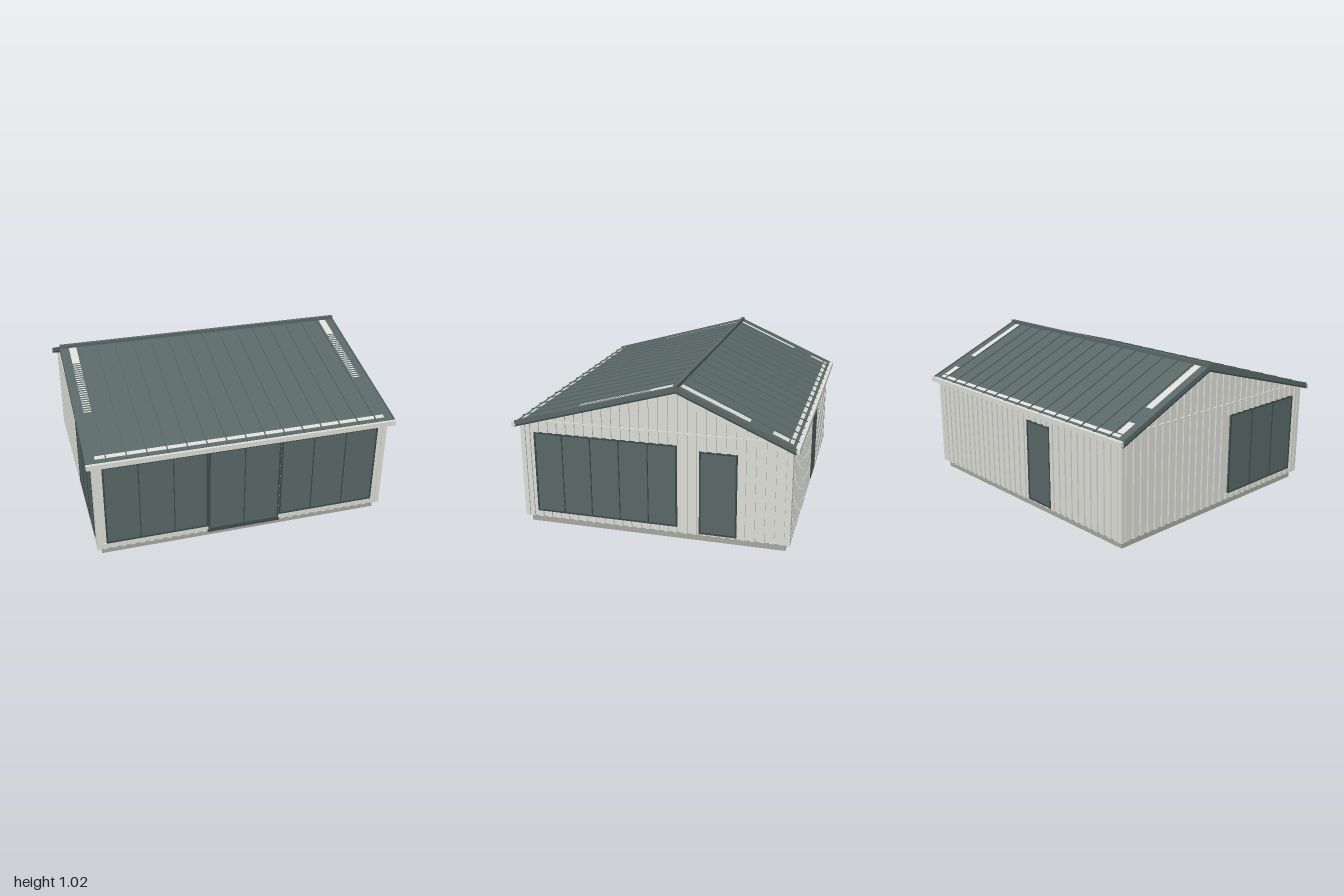
import * as THREE from 'three';
import { mergeGeometries } from 'three/addons/utils/BufferGeometryUtils.js';

const paint = (name, color) => {
  const m = new THREE.MeshStandardMaterial({ color });
  m.name = name;
  return m;
};

// Roof profile: ridge and eaves in (z, y)
const RIDGE_Z = -0.165, RIDGE_Y = 1.0;
const EAVE_F = [0.885, 0.7], EAVE_B = [-0.885, 0.685];
const roofY = (z) => {
  const [ez, ey] = z > RIDGE_Z ? EAVE_F : EAVE_B;
  return RIDGE_Y + (ey - RIDGE_Y) * (z - RIDGE_Z) / (ez - RIDGE_Z);
};

// Axis-aligned box from its bounds
const box = (x0, x1, y0, y1, z0, z1) =>
  new THREE.BoxGeometry(x1 - x0, y1 - y0, z1 - z0)
    .translate((x0 + x1) / 2, (y0 + y1) / 2, (z0 + z1) / 2);

// Extrude a (z, y) profile across the width of the house
const acrossX = (pts, halfWidth) =>
  new THREE.ExtrudeGeometry(new THREE.Shape(pts.map((p) => new THREE.Vector2(...p))),
    { depth: 2 * halfWidth, bevelEnabled: false })
    .translate(0, 0, -halfWidth).rotateY(-Math.PI / 2);

// Band of the roof section between two depths below the top surface
const roofBand = (d0, d1) => acrossX([
  [EAVE_F[0], EAVE_F[1] - d0], [RIDGE_Z, RIDGE_Y - d0], [EAVE_B[0], EAVE_B[1] - d0],
  [EAVE_B[0], EAVE_B[1] - d1], [RIDGE_Z, RIDGE_Y - d1], [EAVE_F[0], EAVE_F[1] - d1],
], 1);

// Strip lying on a roof slope
const onSlope = (x, w, z0, z1, h) => {
  const e = 0.0005;
  const y0 = roofY(z0 > RIDGE_Z ? z0 : z0 + e), y1 = roofY(z1);
  return new THREE.BoxGeometry(w, h, Math.hypot(z1 - z0, y1 - y0))
    .rotateX(Math.atan2(y0 - y1, z1 - z0))
    .translate(x, (y0 + y1) / 2, (z0 + z1) / 2);
};

export function createModel() {
  const house = new THREE.Group();
  house.name = 'house';
  const cladding = paint('pale cladding', 0xdcddd6);
  const plinthGrey = paint('plinth grey', 0xa7a69f);
  const roofing = paint('roof grey green', 0x596867);
  const glass = paint('tinted glass', 0x586766);
  const frame = paint('dark frame', 0x3c4a49);

  const add = (parent, name, geo, mat) => {
    const m = new THREE.Mesh(Array.isArray(geo) ? mergeGeometries(geo) : geo, mat);
    m.name = name;
    parent.add(m);
    return m;
  };

  // Plinth and solid wall body with gables
  add(house, 'plinth', box(-0.935, 0.935, 0, 0.05, -0.835, 0.835), plinthGrey);
  const W = 0.955, D = 0.855, under = 0.028;
  add(house, 'wallBody', acrossX([
    [-D, 0.05], [D, 0.05], [D, roofY(D) - under],
    [RIDGE_Z, RIDGE_Y - under], [-D, roofY(-D) - under],
  ], W), cladding);

  // One elevation: battens, corner boards and glazed openings.
  // Openings are [u0, u1, y0, y1, panes]; u runs to the right seen from outside.
  const elevation = (name, angle, half, out, topAt, openings) => {
    const g = new THREE.Group();
    g.name = name;
    g.rotation.y = angle;
    house.add(g);

    const battens = [], w = 0.014;
    const put = (u, y0, y1) => {
      if (y1 - y0 > 0.005) battens.push(box(u - w, u + w, y0, y1, out - 0.002, out + 0.01));
    };
    const n = Math.round((half - 0.04) / 0.03);
    for (let i = 0; i <= n; i++) {
      const u = -(half - 0.04) + (2 * (half - 0.04) * i) / n;
      const hit = openings.find((o) => u + w > o[0] && u - w < o[1]);
      const top = Math.min(topAt(u - w), topAt(u + w));
      if (hit) {
        put(u, 0.05, hit[2]);
        put(u, hit[3], top);
      } else put(u, 0.05, top);
    }
    add(g, 'battens', battens, cladding);
    add(g, 'cornerBoards', [-1, 1].map((s) => {
      const a = s * (half - 0.02), b = s * (half + 0.01);
      return box(Math.min(a, b), Math.max(a, b), 0.05, topAt(s * half), out - 0.002, out + 0.01);
    }), cladding);

    const panes = [], bars = [];
    const t = 0.006;
    for (const [u0, u1, y0, y1, count] of openings) {
      panes.push(box(u0, u1, y0, y1, out - 0.001, out + 0.006));
      for (let i = 0; i <= count; i++) {
        const edge = i === 0 || i === count;
        const b = edge ? 0.01 : t;
        const u = u0 + ((u1 - u0) * i) / count + (i === 0 ? b : i === count ? -b : 0) / 2 * 1.0;
        bars.push(box(u - b / 2, u + b / 2, y0, y1, out, out + 0.011));
      }
      bars.push(box(u0, u1, y0, y0 + 0.01, out, out + 0.011));
      bars.push(box(u0, u1, y1 - 0.01, y1, out, out + 0.011));
    }
    add(g, 'glazing', panes, glass);
    add(g, 'frames', bars, frame);
    return g;
  };

  const front = elevation('frontElevation', 0, W, D, () => roofY(D) - under, [
    [-0.905, -0.245, 0.09, 0.645, 3], [-0.24, 0.235, 0.06, 0.645, 2], [0.24, 0.9, 0.09, 0.645, 3],
  ]);
  add(front, 'threshold', box(-0.25, 0.24, 0.046, 0.06, D, D + 0.013), frame);
  elevation('backElevation', Math.PI, W, D, () => roofY(-D) - under, [[0.08, 0.31, 0.06, 0.605, 1]]);
  const left = elevation('leftElevation', Math.PI / 2, D, W, (u) => roofY(-u) - under, [
    [-0.775, 0.16, 0.09, 0.63, 5], [0.3, 0.535, 0.06, 0.605, 1],
  ]);
  const right = elevation('rightElevation', -Math.PI / 2, D, W, (u) => roofY(u) - under, [
    [0.1, 0.775, 0.09, 0.63, 3],
  ]);
  // Flashing at the foot of each gable
  add(left, 'gableFlashing', box(-0.74, 0.74, 0.706, 0.713, W, W + 0.013), cladding);
  add(right, 'gableFlashing', box(-0.74, 0.74, 0.706, 0.713, W, W + 0.013), cladding);

  // Roof sheets, dark underside, standing seams and ridge cap
  add(house, 'roofSheets', roofBand(0, 0.022), roofing);
  add(house, 'roofUnderside', roofBand(0.022, 0.032), frame);
  const seams = [];
  for (let i = -8; i <= 8; i++) {
    const x = Math.max(-0.997, Math.min(0.997, i * 0.125));
    seams.push(onSlope(x, 0.006, RIDGE_Z, EAVE_F[0], 0.016), onSlope(x, 0.006, EAVE_B[0], RIDGE_Z, 0.016));
  }
  add(house, 'roofSeams', seams, roofing);
  add(house, 'ridgeCap', box(-1, 1, 0.985, 1.018, RIDGE_Z - 0.012, RIDGE_Z + 0.012), roofing);

  // Pale wall heads flush with the roof surface
  const heads = [];
  for (const s of [-1, 1]) {
    const x = s * 0.915;
    heads.push(onSlope(x, 0.05, -0.83, -0.735, 0.003), onSlope(x, 0.05, -0.6, -0.18, 0.003));
    heads.push(onSlope(x, 0.05, -0.15, 0.01, 0.003));
    for (let z = 0.02; z < 0.47; z += 0.02) heads.push(onSlope(x, 0.05, z, z + 0.008, 0.003));
  }
  heads.push(onSlope(0, 1.88, -0.86, -0.838, 0.003), onSlope(0, 1.88, 0.832, 0.858, 0.003));
  add(house, 'wallHeads', heads, cladding);

  // Eaves gutters
  add(house, 'frontGutter', box(-1, 1, 0.665, 0.697, 0.878, 0.905), cladding);
  add(house, 'backGutter', box(-1, 1, 0.66, 0.69, -0.905, -0.878), cladding);

  return house;
}
